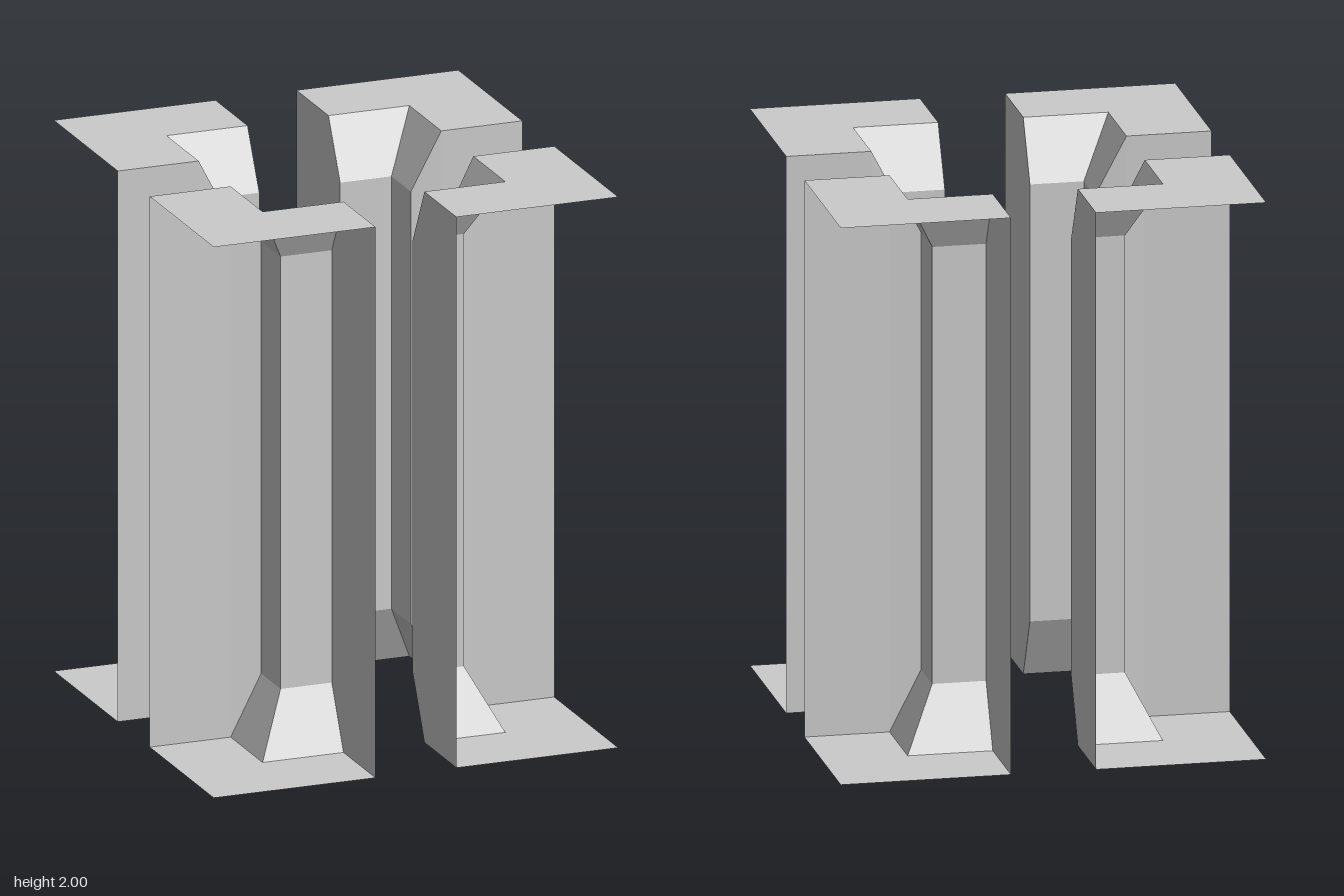
import * as THREE from 'three';

const OUT = 0.75, IN = 0.15, H = 2;
// Notch profile from bottom to top: [notch size, height, inner edge of the x-facing wall]
const PROFILE = [
  [0.45, 0, 0.15],
  [0.34, 0.22, 0.157],
  [0.34, 1.79, 0.157],
  [0.45, H, 0.15],
];

// Flat polygons, each cut into a triangle fan; sx and sz mirror them into a quadrant
function panelMesh(name, polygons, sx, sz, material) {
  const pos = [];
  for (const poly of polygons) {
    const p = sx * sz < 0 ? [poly[0], ...poly.slice(1).reverse()] : poly;
    for (let i = 1; i < p.length - 1; i++) {
      for (const [x, y, z] of [p[0], p[i], p[i + 1]]) pos.push(x * sx, y, z * sz);
    }
  }
  const geo = new THREE.BufferGeometry();
  geo.setAttribute('position', new THREE.Float32BufferAttribute(pos, 3));
  geo.computeVertexNormals();
  const mesh = new THREE.Mesh(geo, material);
  mesh.name = name;
  return mesh;
}

const swap = ([x, y, z]) => [z, y, x];

function createColumn(sx, sz, material) {
  const column = new THREE.Group();
  const add = (name, polygons) => column.add(panelMesh(name, polygons, sx, sz, material));

  // L-shaped plates, fanned from the notch corner
  const n = PROFILE[0][0];
  const plate = (y) => [[n, y, n], [n, y, IN], [OUT, y, IN], [OUT, y, OUT], [IN, y, OUT], [IN, y, n]];
  add('bottomPlate', [plate(0)]);
  add('topPlate', [[plate(H)[0], ...plate(H).slice(1).reverse()]]);

  // Upright end walls at both arms of the L; the outer sides stay open
  const arm = [[OUT, 0, IN], [OUT, H, IN], ...PROFILE.map(([x, y]) => [x, y, IN]).reverse()];
  const armBent = [[OUT, 0, IN], [OUT, H, IN], ...PROFILE.map(([x, y, e]) => [x, y, e]).reverse()];
  add('sideEndWall', [armBent.reverse()]);
  add('frontEndWall', [arm.map(swap)]);

  // Notch walls, flaring outwards at the top and bottom
  const wallX = [], wallZ = [];
  for (let i = 0; i < PROFILE.length - 1; i++) {
    const [p0, y0, e0] = PROFILE[i], [p1, y1, e1] = PROFILE[i + 1];
    wallX.push([[p0, y0, e0], [p0, y0, p0], [p1, y1, p1], [p1, y1, e1]]);
    wallZ.push([[p1, y1, IN], [p1, y1, p1], [p0, y0, p0], [p0, y0, IN]].map(swap));
  }
  add('notchSideWall', wallX);
  add('notchFrontWall', wallZ);
  return column;
}

export function createModel() {
  const model = new THREE.Group();
  const material = new THREE.MeshStandardMaterial({
    color: 0xcccccc, flatShading: true, side: THREE.DoubleSide,
  });
  // One column per quadrant, mirrored across both axes
  for (const sx of [1, -1]) {
    for (const sz of [1, -1]) {
      const column = createColumn(sx, sz, material);
      column.name = (sz > 0 ? 'front' : 'back') + (sx > 0 ? 'Left' : 'Right') + 'Column';
      model.add(column);
    }
  }
  return model;
}
